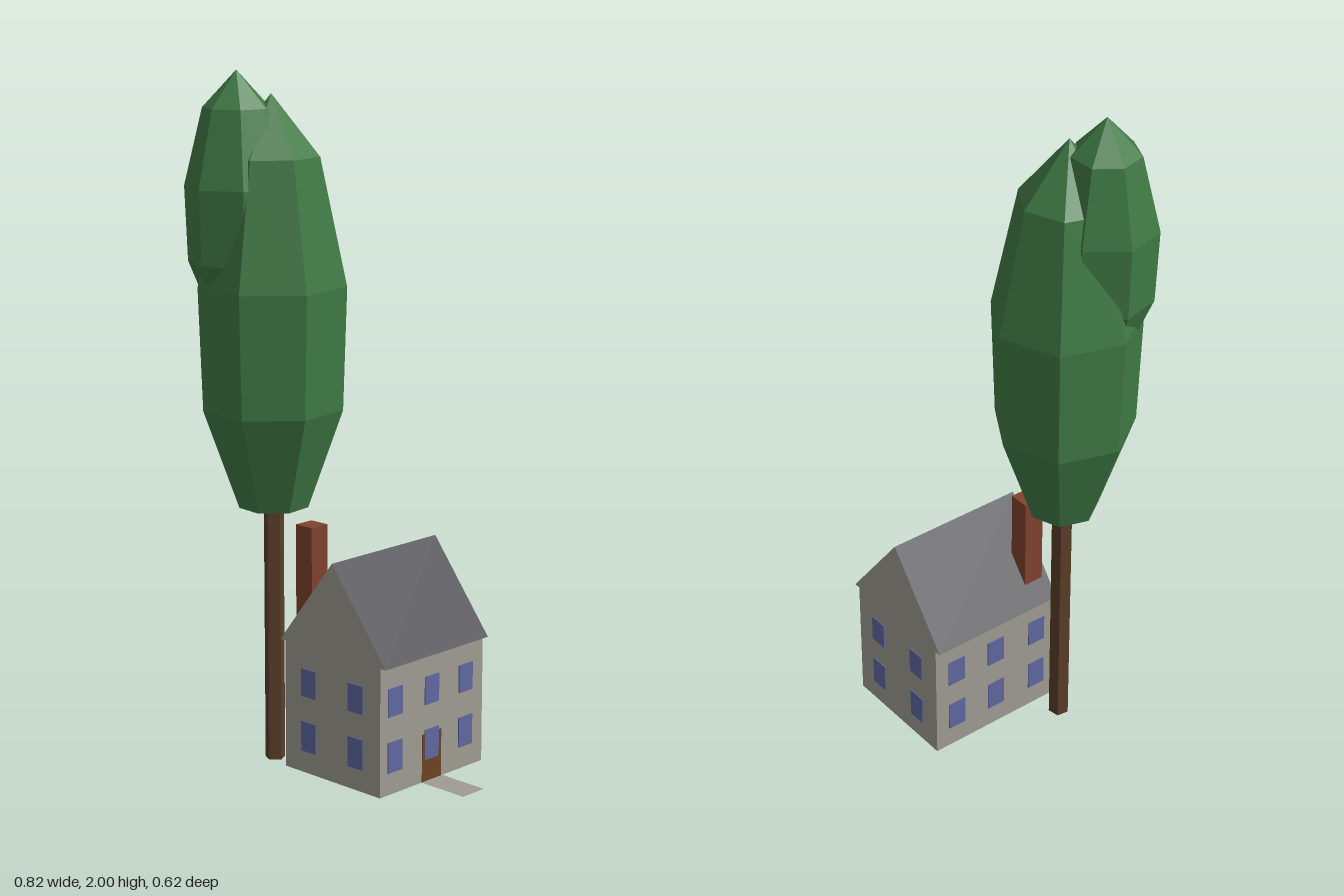
import * as THREE from 'three';

const mat = (name, color, side = THREE.FrontSide) => {
  const m = new THREE.MeshStandardMaterial({ color });
  m.name = name;
  m.side = side;
  return m;
};

export function createModel() {
  const wall = mat('wall stone', 0x9e9c92);
  const pathStone = mat('path stone', 0x9e9c92, THREE.DoubleSide);
  const slate = mat('roof slate', 0x3b3a42);
  const glass = mat('window blue', 0x6068a0);
  const wood = mat('door wood', 0x6b4423);
  const brick = mat('chimney brick', 0x80422d);
  const bark = mat('bark', 0x5a3f28);
  const leaf = mat('leaves', 0x407a45);

  const model = new THREE.Group();
  const house = new THREE.Group();
  house.name = 'house';
  const tree = new THREE.Group();
  tree.name = 'tree';
  model.add(house, tree);

  const add = (parent, name, geometry, material, x = 0, y = 0, z = 0) => {
    const mesh = new THREE.Mesh(geometry, material);
    mesh.name = name;
    mesh.position.set(x, y, z);
    parent.add(mesh);
    return mesh;
  };
  // box from its minimum and maximum corners
  const box = (name, material, a, b) => add(house, name,
    new THREE.BoxGeometry(b[0] - a[0], b[1] - a[1], b[2] - a[2]), material,
    (a[0] + b[0]) / 2, (a[1] + b[1]) / 2, (a[2] + b[2]) / 2);

  const X0 = -0.125, X1 = 0.25, Z0 = -0.31, Z1 = 0.12, EAVES = 0.38;
  box('walls', wall, [X0, 0, Z0], [X1, EAVES, Z1]);

  // roof prism: stone gable ends, slate slopes overhanging the side walls
  const gable = new THREE.Shape();
  gable.moveTo(-0.145, EAVES);
  gable.lineTo(0.27, EAVES);
  gable.lineTo(0.0625, 0.645);
  gable.closePath();
  const roof = new THREE.ExtrudeGeometry(gable, { depth: Z1 - Z0, bevelEnabled: false });
  add(house, 'roof', roof, [wall, slate], 0, 0, Z0);

  box('chimney', brick, [-0.1, 0.4, 0.037], [-0.037, 0.725, 0.1]);

  // windows on all four walls, two storeys
  const T = 0.003;
  for (const [y0, y1] of [[0.065, 0.155], [0.23, 0.313]]) {
    for (const x of [-0.03, 0.156])
      for (const z of [Z0, Z1])
        box('window', glass, [x - 0.029, y0, z - T], [x + 0.029, y1, z + T]);
    for (const z of [0.06, -0.092, -0.236])
      for (const x of [X0, X1])
        box('window', glass, [x - T, y0, z - 0.029], [x + T, y1, z + 0.029]);
  }

  box('door', wood, [X1 - 0.0015, 0, -0.133], [X1 + 0.0015, 0.143, -0.053]);
  const path = add(house, 'path', new THREE.PlaneGeometry(0.16, 0.087), pathStone, 0.33, 0.001, -0.094);
  path.rotation.x = -Math.PI / 2;

  // tree: faceted trunk and two seven-sided crowns of the same profile
  const flat = (geometry) => {
    const g = geometry.toNonIndexed();
    g.computeVertexNormals();
    return g;
  };
  const rad = THREE.MathUtils.degToRad;
  const trunk = new THREE.CylinderGeometry(0.03, 0.03, 0.85, 5, 1, false, rad(10));
  add(tree, 'trunk', flat(trunk), bark, -0.2, 0.425, 0.09);

  const profile = [[0, 0], [0.47, 0], [0.945, 0.245], [1, 0.545], [0.645, 0.853], [0, 1]];
  const crown = (name, x, z, y0, y1, r, angle) => {
    const points = profile.map(([u, v]) => new THREE.Vector2(u * r, v * (y1 - y0)));
    add(tree, name, flat(new THREE.LatheGeometry(points, 7, rad(90 - angle))), leaf, x, y0, z);
  };
  crown('largeCrown', -0.2, 0.09, 0.76, 1.935, 0.214, 18);
  crown('smallCrown', -0.265, 0.16, 1.295, 2, 0.149, 37);

  return model;
}
